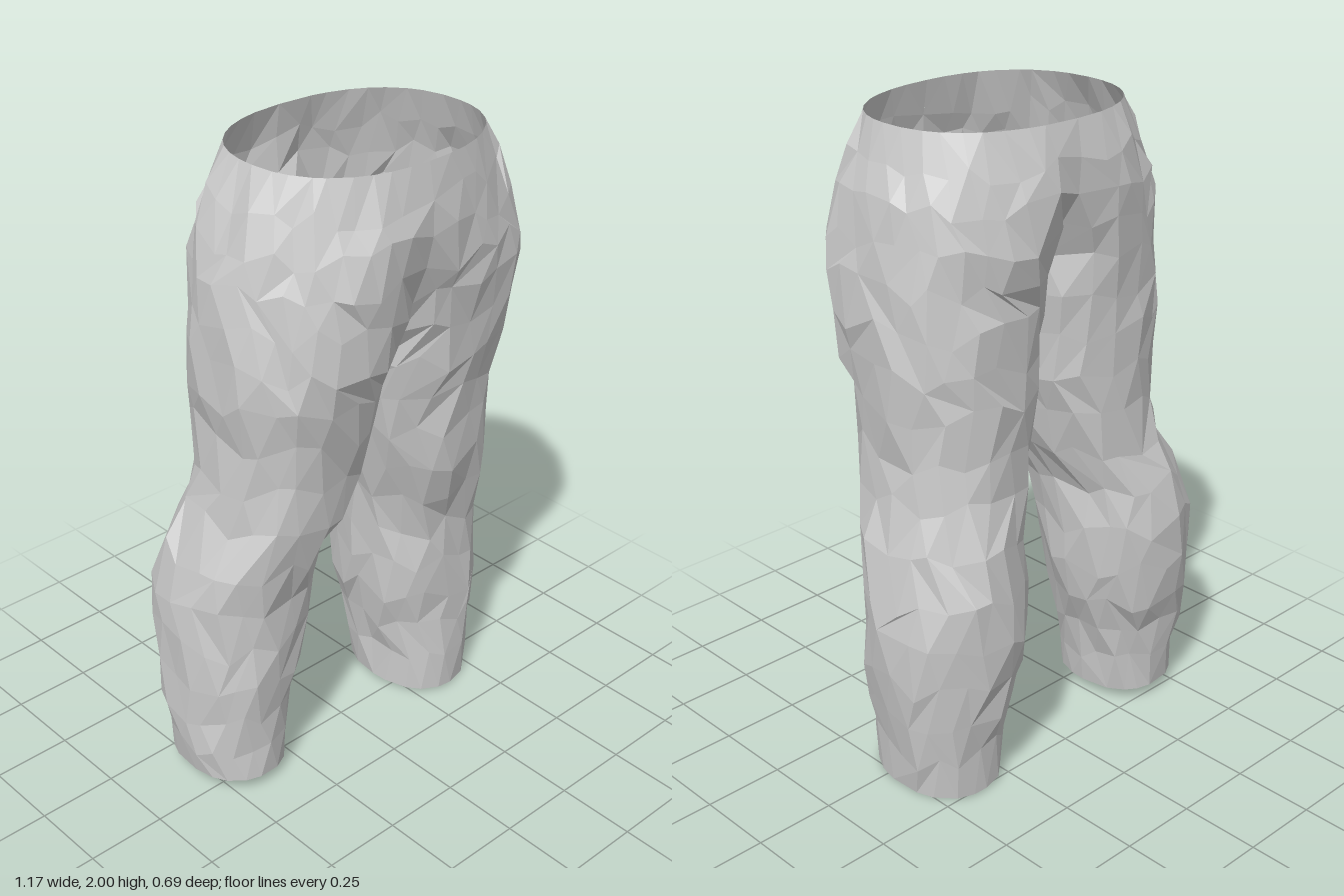
import * as THREE from 'three';

const SEAM_X = 0.03, CROTCH = 1.22, AROUND = 18;

// height, outer/inner x of right leg, outer/inner x of left leg, front z, back z, seam angle (deg)
const SECTIONS = [
  [0.00, -0.56, -0.25, 0.525, 0.21, 0.135, -0.27, 180],
  [0.13, -0.572, -0.235, 0.54, 0.20, 0.13, -0.28, 180],
  [0.27, -0.578, -0.205, 0.56, 0.18, 0.13, -0.30, 180],
  [0.40, -0.582, -0.17, 0.575, 0.15, 0.145, -0.322, 180],
  [0.53, -0.582, -0.138, 0.58, 0.14, 0.145, -0.34, 180],
  [0.66, -0.573, -0.125, 0.575, 0.14, 0.145, -0.34, 180],
  [0.80, -0.545, -0.12, 0.55, 0.125, 0.18, -0.31, 180],
  [0.94, -0.485, -0.06, 0.515, 0.09, 0.215, -0.28, 180],
  [1.08, -0.46, -0.01, 0.505, 0.055, 0.225, -0.275, 180],
  [CROTCH, -0.465, SEAM_X, 0.515, SEAM_X, 0.245, -0.28, 180],
  [1.34, -0.48, SEAM_X, 0.526, SEAM_X, 0.285, -0.285, 160],
  [1.46, -0.476, SEAM_X, 0.527, SEAM_X, 0.31, -0.288, 140],
  [1.58, -0.468, SEAM_X, 0.526, SEAM_X, 0.328, -0.296, 122],
  [1.69, -0.455, SEAM_X, 0.515, SEAM_X, 0.342, -0.315, 107],
  [1.79, -0.43, SEAM_X, 0.497, SEAM_X, 0.347, -0.325, 98],
  [1.89, -0.385, SEAM_X, 0.465, SEAM_X, 0.335, -0.318, 93],
  [2.00, -0.33, SEAM_X, 0.43, SEAM_X, 0.31, -0.29, 90],
];
const LAST = SECTIONS.length - 1;

// Repeatable noise in -1..1
function noise(a, b, c) {
  const s = Math.sin(a * 127.1 + b * 311.7 + c * 74.7) * 43758.5453;
  return (s - Math.floor(s)) * 2 - 1;
}

const soft = (v) => Math.sign(v) * Math.pow(Math.abs(v), 0.88);
const bump = (v, mid, width) => Math.exp(-(((v - mid) / width) ** 2));

// One vertex; j runs from the front seam round the outside to the back seam
function vertex(i, j, side) {
  const [y0, outR, inR, outL, inL, front0, back, deg] = SECTIONS[i];
  const outer = side > 0 ? outL : -outR, inner = side > 0 ? inL : -inR;
  // the right shin is a little slimmer at the front
  const front = front0 - (side < 0 ? 0.035 * Math.max(0, 1 - y0 / 1.1) : 0);
  const theta = THREE.MathUtils.degToRad(deg);
  const onSeam = j === 0 || j === AROUND;
  const joined = y0 >= CROTCH;
  const rim = i === 0 || i === LAST;

  // Stagger neighbouring rings so the facets look irregular
  let u = j;
  if (!onSeam) u += (i % 2 ? 0.22 : -0.22) + 0.22 * noise(i, j, side + 5);
  const angle = theta * (1 - 2 * u / AROUND);
  const radius = (outer - inner) / (1 - soft(Math.cos(theta)));
  let x = side * (outer - radius + radius * soft(Math.cos(angle)));
  let z = (front + back) / 2 + (front - back) / 2 * soft(Math.sin(angle));
  let y = y0;

  // Crumpled cloth
  if (!rim) {
    const shared = onSeam && joined;
    const n = noise(i, j, shared ? 1 : side + 2);
    if (!shared) x += side * Math.cos(angle) * n * 0.01;
    z += Math.sin(angle) * n * 0.01;
    y += (shared ? 0.01 : 0.035) * noise(j, i, shared ? 9 : side + 7);
  }

  // Cleft down the centre of the back
  if (joined && j >= AROUND - 1) z += (onSeam ? 0.085 : 0.02) * bump(y0, 1.6, 0.17);

  if (joined && !rim && z > 0.1) {
    // Hip fronts: flat and square on the left, sloping away on the right
    const hip = bump(y0, 1.68, 0.25), corner = hip * bump(angle, 0.7, 0.35);
    x += 0.022 * corner;
    z += side * 0.02 * corner;
    if (onSeam) z -= 0.02 * hip;
    else if (side > 0) z -= 0.03 * hip * bump(angle, 1.4, 0.35);

    // Diagonal pull from the fly down to the left hip
    const d = y - (1.79 - 0.6 * (x + 0.1));
    const reach = bump(x, 0.15, 0.24);
    z += reach * (0.012 * bump(d, 0.04, 0.07) - 0.025 * bump(d, -0.1, 0.08));
  }

  // Upright pocket crease on the left hip
  if (side > 0 && y0 > 1.65 && !rim && z > 0.05) z -= 0.02 * bump(x, 0.38, 0.04);

  // Sloping hems
  y += (0.024 - 0.045 * x) * Math.max(0, 1 - y0 / 0.3);
  return [x, y, z];
}

// Half of the trousers: a closed tube below the crotch, opening to a half shell above it
function half(side, name, material) {
  const width = AROUND + 1;
  const positions = [], index = [];
  SECTIONS.forEach((section, i) => {
    for (let j = 0; j <= AROUND; j++) {
      // the tube closes on its own first vertex
      const column = j === AROUND && section[0] < CROTCH ? 0 : j;
      positions.push(...vertex(i, column, side));
    }
  });
  const tri = (a, b, c) => (side > 0 ? index.push(a, b, c) : index.push(a, c, b));
  for (let i = 0; i < LAST; i++) {
    for (let j = 0; j < AROUND; j++) {
      const a = i * width + j, b = a + 1, c = a + width, d = c + 1;
      // mostly follow the stagger, with some diagonals flipped
      if ((i % 2 ? 0.5 : -0.5) + noise(i, j, side + 12) > 0) { tri(a, b, d); tri(a, d, c); }
      else { tri(a, b, c); tri(b, d, c); }
    }
  }
  const geometry = new THREE.BufferGeometry();
  geometry.setAttribute('position', new THREE.Float32BufferAttribute(positions, 3));
  geometry.setIndex(index);
  geometry.computeVertexNormals();
  const mesh = new THREE.Mesh(geometry, material);
  mesh.name = name;
  return mesh;
}

export function createModel() {
  const cloth = new THREE.MeshStandardMaterial({
    color: 0xcccccc, flatShading: true, side: THREE.DoubleSide,
  });
  const trousers = new THREE.Group();
  trousers.name = 'trousers';
  trousers.add(half(1, 'leftTrouserHalf', cloth), half(-1, 'rightTrouserHalf', cloth));
  return trousers;
}
